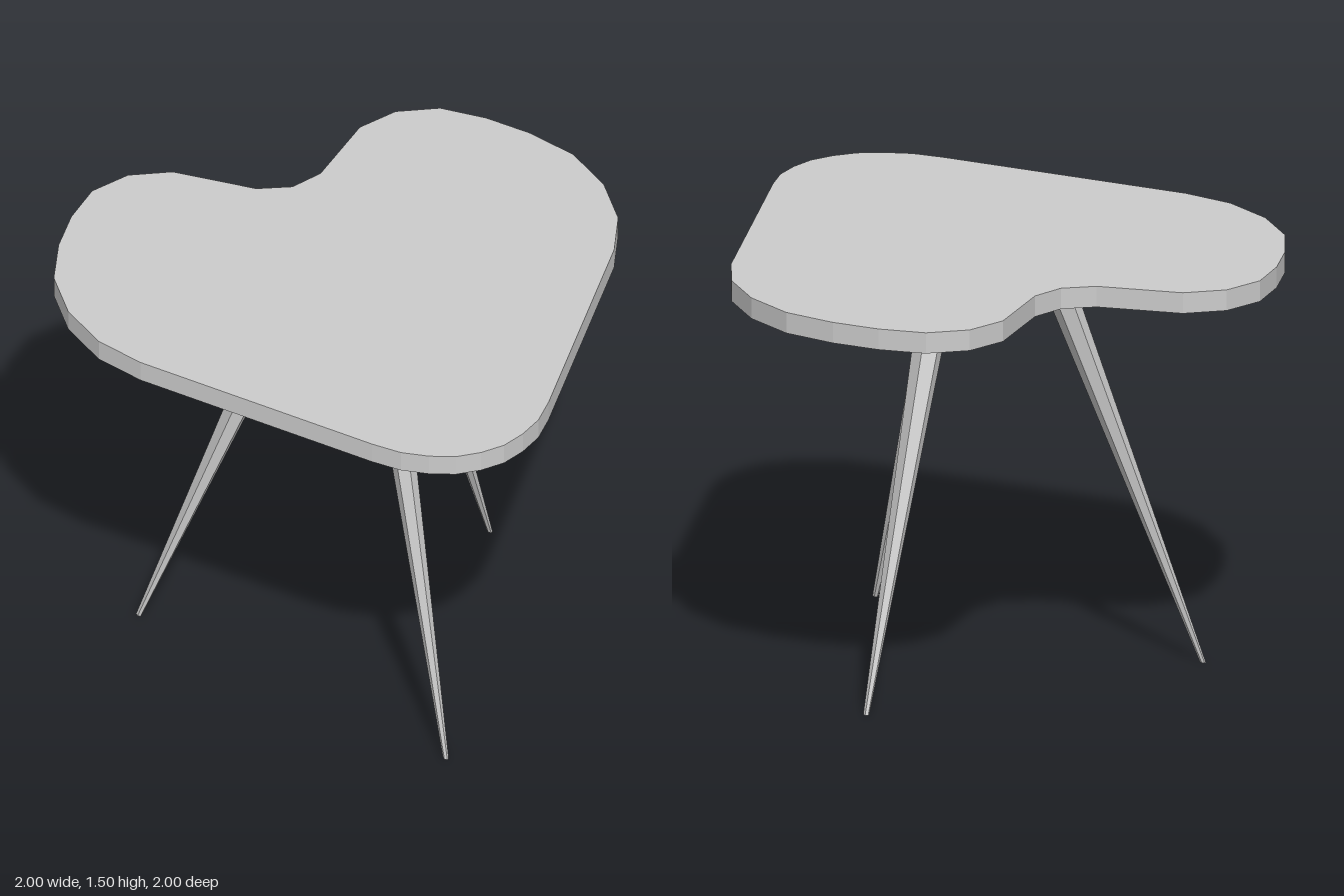
import * as THREE from 'three';

const TOP = 1.505, UNDERSIDE = 1.43;
const material = new THREE.MeshStandardMaterial({ color: 0xcccccc, flatShading: true });

// Right half of the heart outline as [x, z], from the back notch to the front tip
const HALF = [
  [0, -0.72], [0.12, -0.757], [0.35, -0.96], [0.5, -1], [0.65, -0.96], [0.775, -0.845],
  [0.88, -0.705], [0.97, -0.53], [1, -0.325], [0.97, -0.12], [0.885, 0.05], [0.33, 0.805],
  [0.257, 0.89], [0.175, 0.947], [0.09, 0.985], [0, 0.995],
];

function createTabletop() {
  const mirrored = HALF.slice(1, -1).reverse().map(([x, z]) => [-x, z]);
  const outline = [...HALF, ...mirrored].map(([x, z]) => new THREE.Vector2(x, z));
  const geometry = new THREE.ExtrudeGeometry(new THREE.Shape(outline), {
    depth: TOP - UNDERSIDE, bevelEnabled: false,
  });
  geometry.rotateX(Math.PI / 2).translate(0, TOP, 0);
  const mesh = new THREE.Mesh(geometry, material);
  mesh.name = 'tabletop';
  return mesh;
}

// Tapered six-sided leg, narrow in x, sheared so both ends stay level
function createLeg(name, [topX, topZ], [footX, footZ]) {
  const geometry = new THREE.CylinderGeometry(0.082, 0.014, UNDERSIDE, 6);
  geometry.scale(0.66, 1, 1).translate(0, UNDERSIDE / 2, 0);
  const p = geometry.attributes.position;
  for (let i = 0; i < p.count; i++) {
    const t = p.getY(i) / UNDERSIDE;
    p.setX(i, p.getX(i) + THREE.MathUtils.lerp(footX, topX, t));
    p.setZ(i, p.getZ(i) + THREE.MathUtils.lerp(footZ, topZ, t));
  }
  geometry.computeVertexNormals();
  const mesh = new THREE.Mesh(geometry, material);
  mesh.name = name;
  return mesh;
}

export function createModel() {
  const group = new THREE.Group();
  group.name = 'heartTable';
  group.add(
    createTabletop(),
    createLeg('frontLeg', [0, 0.127], [0, 0.673]),
    createLeg('backLeftLeg', [0.215, -0.219], [0.655, -0.522]),
    createLeg('backRightLeg', [-0.215, -0.219], [-0.655, -0.522]),
  );
  return group;
}
